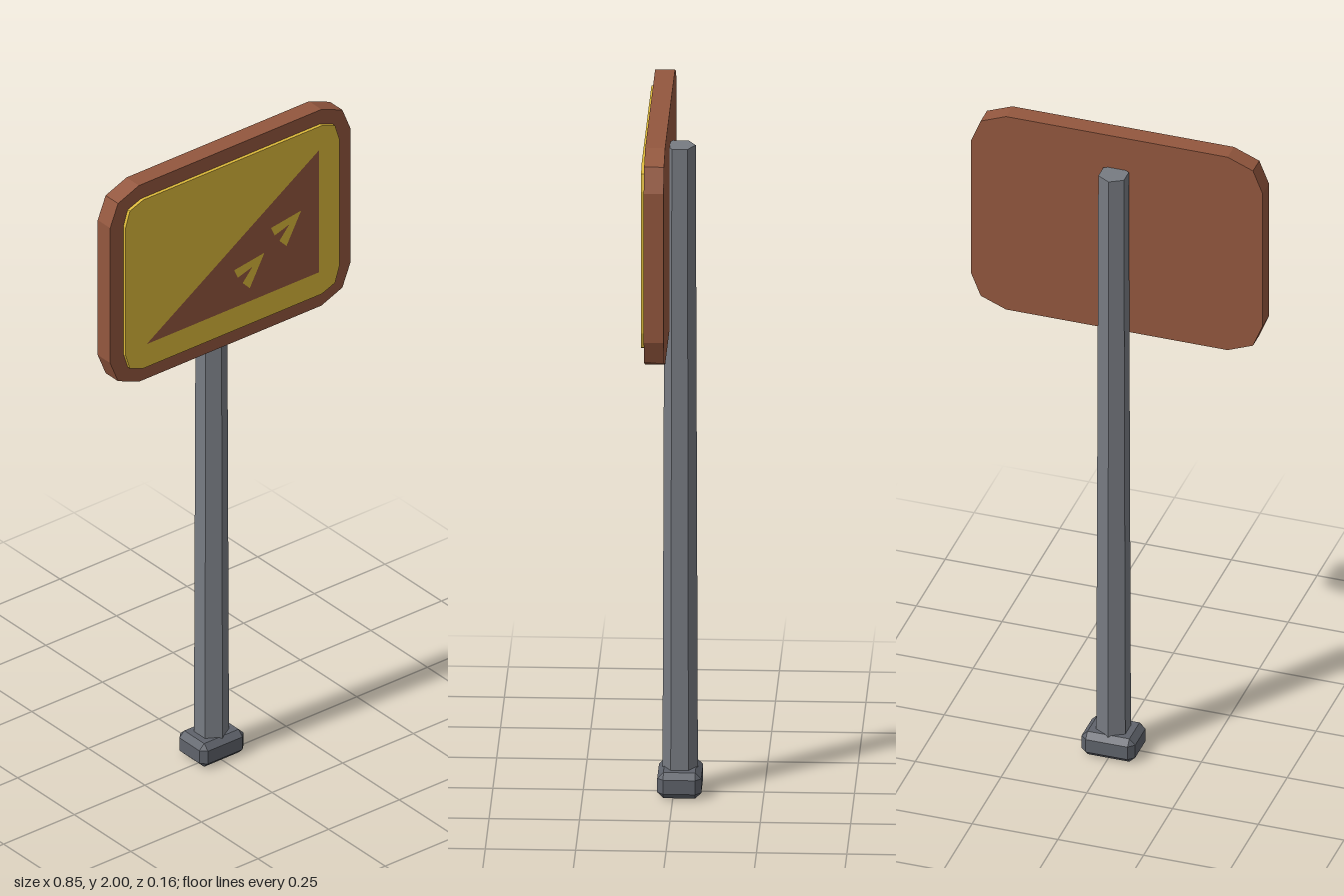
import * as THREE from 'three';
import { ConvexGeometry } from 'three/addons/geometries/ConvexGeometry.js';

const POST_Z = -0.018;
const material = (color) => new THREE.MeshStandardMaterial({ color, flatShading: true });
const points = (list) => list.map(([x, y]) => new THREE.Vector2(x, y));

// Plate with twelve-sided outline; each corner is cut into two facets.
function plate(halfW, bottom, top, corner, z0, z1) {
  const [cutX, midX, midY, cutY] = corner;
  const cy = (bottom + top) / 2;
  const h = (top - bottom) / 2;
  const quarter = [[halfW, h - cutY], [halfW - midX, h - midY], [halfW - cutX, h]];
  const mirrored = [...quarter].reverse();
  const outline = [
    ...quarter,
    ...mirrored.map(([x, y]) => [-x, y]),
    ...quarter.map(([x, y]) => [-x, -y]),
    ...mirrored.map(([x, y]) => [x, -y]),
  ];
  const geometry = new THREE.ExtrudeGeometry(new THREE.Shape(points(outline)), {
    depth: z1 - z0,
    bevelEnabled: false,
  });
  return geometry.translate(0, cy, z0);
}

// Box with every edge and corner chamfered.
function chamferedBox(hx, hy, hz, c) {
  const corners = [];
  for (const sx of [-1, 1]) for (const sy of [-1, 1]) for (const sz of [-1, 1]) {
    corners.push(
      new THREE.Vector3(sx * hx, sy * (hy - c), sz * (hz - c)),
      new THREE.Vector3(sx * (hx - c), sy * hy, sz * (hz - c)),
      new THREE.Vector3(sx * (hx - c), sy * (hy - c), sz * hz),
    );
  }
  return new ConvexGeometry(corners);
}

export function createModel() {
  const model = new THREE.Group();
  model.name = 'slopeSign';
  const brown = material(0x93573e);
  const yellow = material(0xdcb83a);
  const add = (name, geometry, mat) => {
    const mesh = new THREE.Mesh(geometry, mat);
    mesh.name = name;
    model.add(mesh);
    return mesh;
  };

  // Foot and slightly tapered hexagonal post
  add('foot', chamferedBox(0.078, 0.0375, 0.061, 0.017), material(0x5f636b))
    .position.set(0, 0.0375, POST_Z);
  add('post', new THREE.CylinderGeometry(0.043, 0.049, 1.835, 6), material(0x777b82))
    .position.set(0, 0.9775, POST_Z);

  // Backing board and raised face panel
  add('board', plate(0.425, 1.365, 2, [0.102, 0.028, 0.03, 0.099], 0.01, 0.065), brown);
  add('panel', plate(0.378, 1.41, 1.955, [0.062, 0.015, 0.018, 0.065], 0.06, 0.075), yellow);

  // Slope triangle with two arrow-shaped cutouts
  const slope = new THREE.Shape(points([[-0.305, 1.485], [0.305, 1.485], [0.305, 1.88]]));
  const arrow = [
    [0.005, 1.606], [0.112, 1.622], [0.06, 1.527],
    [0.035, 1.553], [0.07, 1.593], [0.018, 1.577],
  ];
  for (const i of [0, 1]) {
    slope.holes.push(new THREE.Path(points(arrow.map(([x, y]) => [x + 0.13 * i, y + 0.087 * i]))));
  }
  add('slopeSymbol', new THREE.ShapeGeometry(slope).translate(0, 0, 0.0765), brown);

  return model;
}
